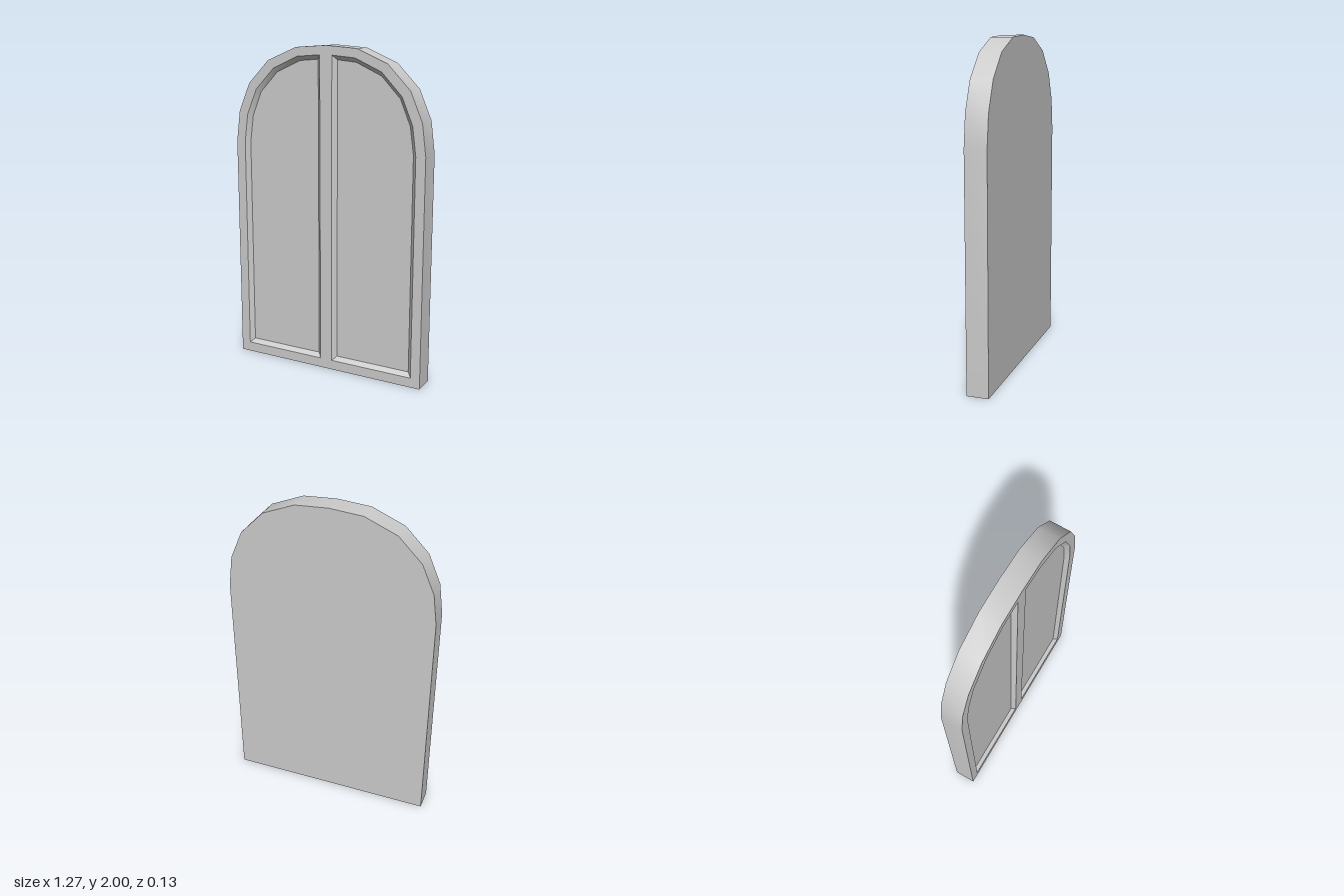
import * as THREE from 'three';
import { toCreasedNormals } from 'three/addons/utils/BufferGeometryUtils.js';

const HALF_DEPTH = 0.066;
const PANE_Z = HALF_DEPTH - 0.025;

// Right halves of the profiles, listed counter-clockwise
const outerHalf = [[0.635, 0], [0.635, 1.4], [0.61, 1.59], [0.535, 1.763], [0.395, 1.905], [0.2, 1.986]];
const openingRight = [[0.04, 0.06], [0.575, 0.06], [0.575, 1.4], [0.552, 1.57], [0.485, 1.728],
  [0.357, 1.86], [0.19, 1.933], [0.04, 1.945]];
const paneRight = [[0.064, 0.085], [0.55, 0.085], [0.55, 1.4], [0.527, 1.563], [0.464, 1.713],
  [0.347, 1.835], [0.186, 1.907], [0.064, 1.918]];

const mirror = (pts) => pts.map(([x, y]) => [-x, y]).reverse();
const outline = [...outerHalf, [0, 2], ...mirror(outerHalf)];

const toPath = (pts) => pts.map(([x, y]) => new THREE.Vector2(x, y));

// Flat face with optional openings
function face(pts, z, holes = []) {
  const shape = new THREE.Shape(toPath(pts));
  shape.holes = holes.map((h) => new THREE.Path(toPath(h)));
  return new THREE.ShapeGeometry(shape).translate(0, 0, z);
}

// Closed band joining loop a to loop b
function band(a, za, b, zb) {
  const pos = [];
  a.forEach((p, i) => {
    const j = (i + 1) % a.length;
    const a0 = [...p, za], a1 = [...a[j], za], b0 = [...b[i], zb], b1 = [...b[j], zb];
    pos.push(...a0, ...a1, ...b1, ...a0, ...b1, ...b0);
  });
  const geo = new THREE.BufferGeometry();
  geo.setAttribute('position', new THREE.Float32BufferAttribute(pos, 3));
  return toCreasedNormals(geo, 0.6);
}

export function createModel() {
  const group = new THREE.Group();
  group.name = 'archedWindow';
  const material = new THREE.MeshStandardMaterial({ color: 0xcccccc });
  const add = (name, geometry) => {
    const mesh = new THREE.Mesh(geometry, material);
    mesh.name = name;
    group.add(mesh);
    return mesh;
  };

  // Frame: front with two openings, outer rim and plain back
  add('frameFront', face(outline, HALF_DEPTH, [openingRight, mirror(openingRight)]));
  add('frameRim', band(outline, -HALF_DEPTH, outline, HALF_DEPTH));
  add('frameBack', face(outline, HALF_DEPTH).rotateY(Math.PI));

  // Recessed panes with sloping surrounds
  for (const [side, flip] of [['left', (p) => p], ['right', mirror]]) {
    const opening = flip(openingRight), pane = flip(paneRight);
    add(side + 'Bevel', band(opening, HALF_DEPTH, pane, PANE_Z));
    add(side + 'Pane', face(pane, PANE_Z));
  }
  return group;
}
